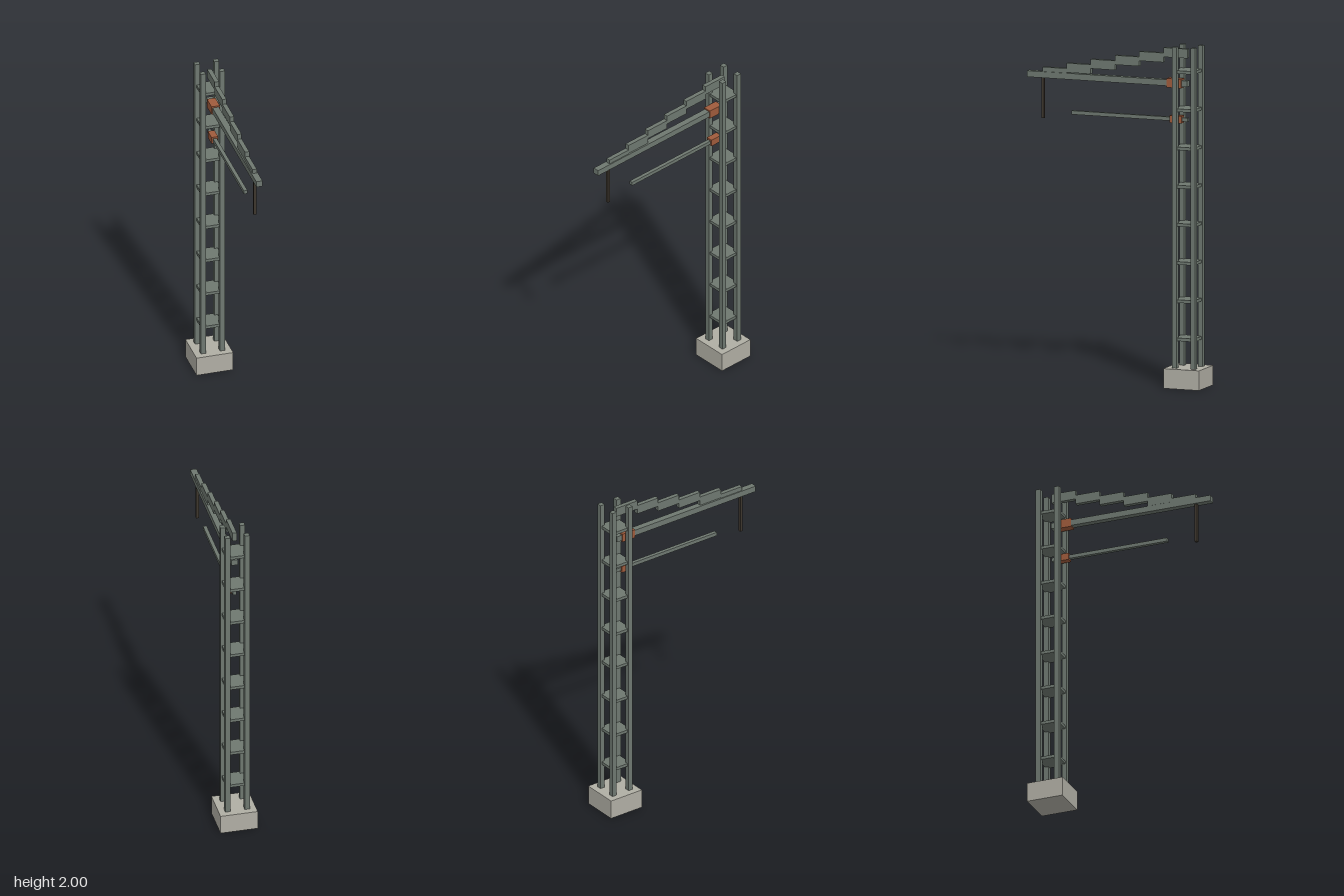
import * as THREE from 'three';

const mat = (name, color) => {
  const m = new THREE.MeshStandardMaterial({ color });
  m.name = name;
  return m;
};

export function createModel() {
  const steel = mat('grey green steel', 0x6e7870);
  const concrete = mat('concrete', 0xb0aea4);
  const rust = mat('rust brown insulator', 0x9f5b3c);
  const dark = mat('dark hanger', 0x3d362d);

  const model = new THREE.Group();
  model.name = 'catenaryMast';

  const box = (name, material, size, pos) => {
    const mesh = new THREE.Mesh(new THREE.BoxGeometry(...size), material);
    mesh.name = name;
    mesh.position.set(...pos);
    model.add(mesh);
  };
  // Horizontal bar running from z0 to z1 at height y
  const bar = (name, material, w, h, y, z0, z1) =>
    box(name, material, [w, h, z1 - z0], [0, y, (z0 + z1) / 2]);

  const towerZ = -0.445;

  // Footing
  box('footing', concrete, [0.222, 0.116, 0.222], [0, 0.058, towerZ]);

  // Four corner legs
  for (const sx of [-1, 1]) {
    for (const sz of [-1, 1]) {
      box('mastLeg', steel, [0.03, 1.884, 0.03], [sx * 0.058, 1.058, towerZ + sz * 0.058]);
    }
  }

  // Tie plates between the legs
  for (let i = 0; i < 8; i++) {
    box('tiePlate', steel, [0.128, 0.018, 0.128], [0, 0.284 + i * 0.2242, towerZ]);
  }

  // Cantilever arms and their insulators
  bar('mainArm', steel, 0.038, 0.036, 1.779, towerZ, 0.556);
  bar('lowerArm', steel, 0.022, 0.022, 1.567, towerZ, 0.281);
  bar('upperInsulator', rust, 0.05, 0.053, 1.779, -0.41, -0.318);
  bar('lowerInsulator', rust, 0.04, 0.042, 1.567, -0.41, -0.335);

  // Stepped stay descending from the mast to the arm tip
  const step = 0.151;
  for (let i = 0; i < 6; i++) {
    const z = towerZ + i * step;
    bar('staySegment', steel, 0.026, 0.055, 1.956 - i * 0.032, z, z + step);
  }

  // Wire hanger below the arm
  box('hanger', dark, [0.017, 0.241, 0.017], [0, 1.644, 0.461]);

  return model;
}
